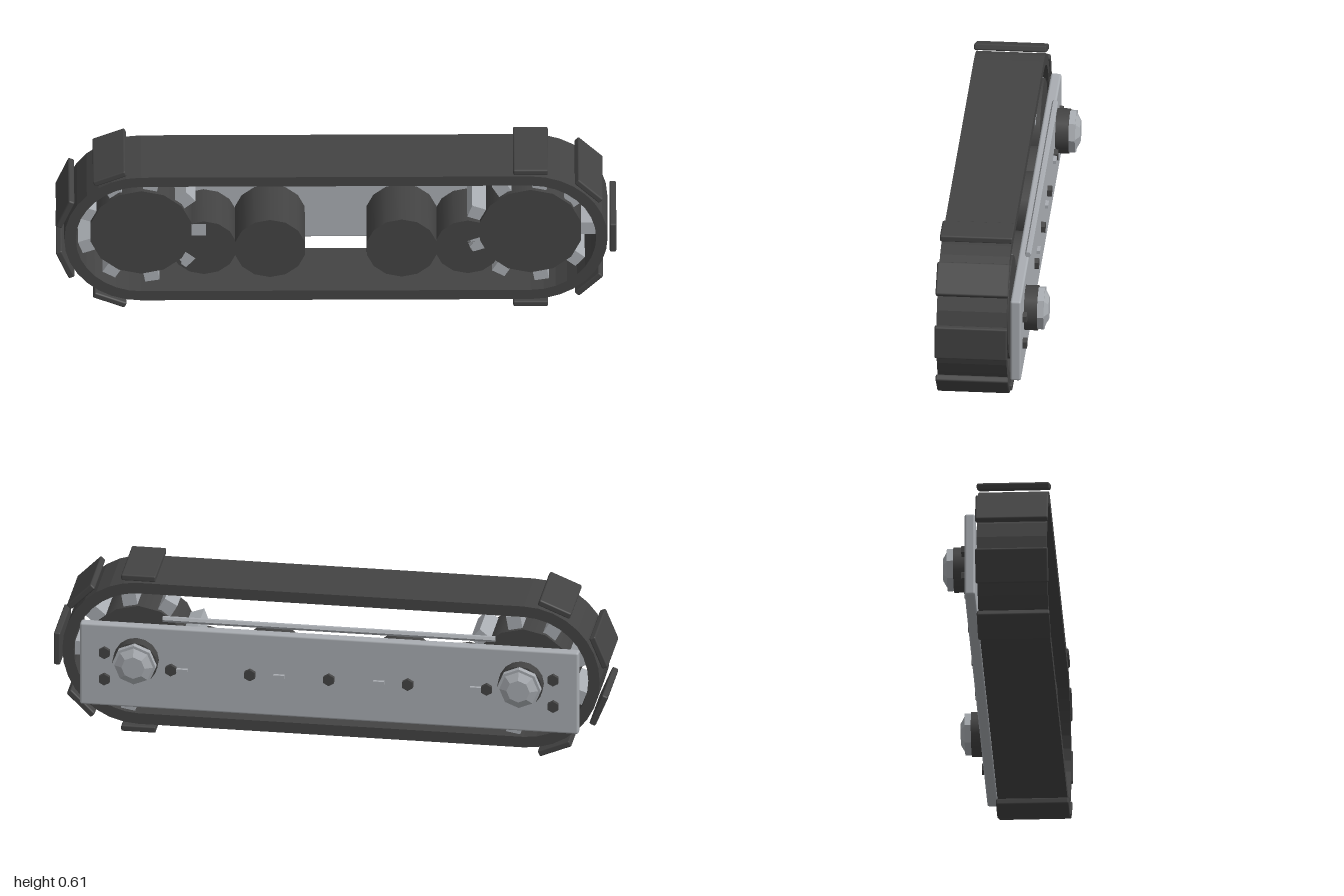
import * as THREE from 'three';
import { RoundedBoxGeometry } from 'three/addons/geometries/RoundedBoxGeometry.js';

const CX = 0.695, CY = 0.306; // axle position

export function createModel() {
  const model = new THREE.Group();
  model.name = 'trackUnit';
  const rubber = new THREE.MeshStandardMaterial({ color: 0x434343 });
  rubber.name = 'darkRubber';
  const steel = new THREE.MeshStandardMaterial({ color: 0xa9adb2 });
  steel.name = 'lightSteel';
  const steelFlat = steel;

  function add(name, geometry, material, x, y, z, rotZ = 0) {
    const mesh = new THREE.Mesh(geometry, material);
    mesh.name = name;
    mesh.position.set(x, y, z);
    mesh.rotation.z = rotZ;
    model.add(mesh);
    return mesh;
  }
  // cylinder along z; r0 is the radius at the front (+z) end
  function drum(r0, r1, depth, sides, faceted = false) {
    let g = new THREE.CylinderGeometry(r0, r1, depth, sides);
    g.rotateX(Math.PI / 2);
    if (faceted) {
      g = g.toNonIndexed();
      g.computeVertexNormals();
    }
    return g;
  }

  // belt: a stadium outline with a stadium hole
  function stadium(target, r) {
    target.absarc(CX, 0, r, -Math.PI / 2, Math.PI / 2, false);
    target.absarc(-CX, 0, r, Math.PI / 2, Math.PI * 1.5, false);
    target.closePath();
    return target;
  }
  const outline = stadium(new THREE.Shape(), 0.275);
  outline.holes.push(stadium(new THREE.Path(), 0.234));
  const beltGeo = new THREE.ExtrudeGeometry(outline, { depth: 0.25, bevelEnabled: false, curveSegments: 8 });
  add('belt', beltGeo, rubber, 0, CY, -0.061);

  // tread pads around both ends
  const padGeo = new RoundedBoxGeometry(0.125, 0.024, 0.26, 1, 0.006);
  function pad(side, degrees) {
    const a = THREE.MathUtils.degToRad(degrees);
    add('treadPad', padGeo, rubber, side * CX + 0.294 * Math.cos(a), CY + 0.294 * Math.sin(a), 0.064, a - Math.PI / 2);
  }
  [90, 45, 0, -45, -90].forEach((d) => pad(1, d));
  [112.5, 157.5, 202.5, 247.5].forEach((d) => pad(-1, d));

  // drive wheels with nine teeth, and smaller road rollers
  const toothGeo = new THREE.BoxGeometry(0.07, 0.052, 0.18);
  for (const side of [-1, 1]) {
    add('driveWheel', drum(0.185, 0.185, 0.21, 14), rubber, side * CX, CY, 0.045);
    for (let i = 0; i < 9; i++) {
      const a = (i * Math.PI * 2) / 9;
      add('wheelTooth', toothGeo, steel, side * CX + 0.196 * Math.cos(a), CY + 0.196 * Math.sin(a), 0.045, a);
    }
    add('outerRoller', drum(0.118, 0.118, 0.19, 14), rubber, side * 0.471, 0.225, 0.04);
    add('innerRoller', drum(0.128, 0.128, 0.21, 14), rubber, side * 0.235, 0.232, 0.045);
  }

  // back plate and the guide rod above it
  add('sidePlate', new RoundedBoxGeometry(1.8, 0.317, 0.038, 2, 0.008), steel, 0, 0.273, -0.089);
  const rodGeo = new THREE.CylinderGeometry(0.011, 0.011, 1.2, 6).toNonIndexed();
  rodGeo.computeVertexNormals();
  rodGeo.rotateZ(Math.PI / 2);
  add('guideRod', rodGeo, steel, 0, 0.468, -0.109);

  // hub washer and nut on each axle
  for (const side of [-1, 1]) {
    const x = side * CX;
    add('hubWasher', drum(0.081, 0.081, 0.048, 16), rubber, x, CY, -0.131);
    add('hubNut', drum(0.08, 0.08, 0.023, 8, true), steelFlat, x, CY, -0.1665);
    // chamfered end of the nut, narrowing towards the back
    add('hubNutCap', drum(0.07, 0.042, 0.015, 8, true).rotateX(0), steelFlat, x, CY, -0.1855).rotation.set(0, 0, 0);
  }

  // small bolts and slot pins on the back of the plate
  const boltGeo = drum(0.022, 0.022, 0.016, 6, true);
  const bolt = (x, y) => add('plateBolt', boltGeo, rubber, x, y, -0.115);
  [-0.57, -0.285, 0, 0.285, 0.57].forEach((x) => bolt(x, 0.273));
  const pinGeo = new THREE.BoxGeometry(0.04, 0.012, 0.014);
  for (const side of [-1, 1]) {
    bolt(side * 0.81, 0.325);
    bolt(side * 0.81, 0.222);
    add('slotPin', pinGeo, steel, side * 0.18, 0.273, -0.113);
    add('slotPin', pinGeo, steel, side * 0.53, 0.273, -0.113);
  }
  return model;
}
